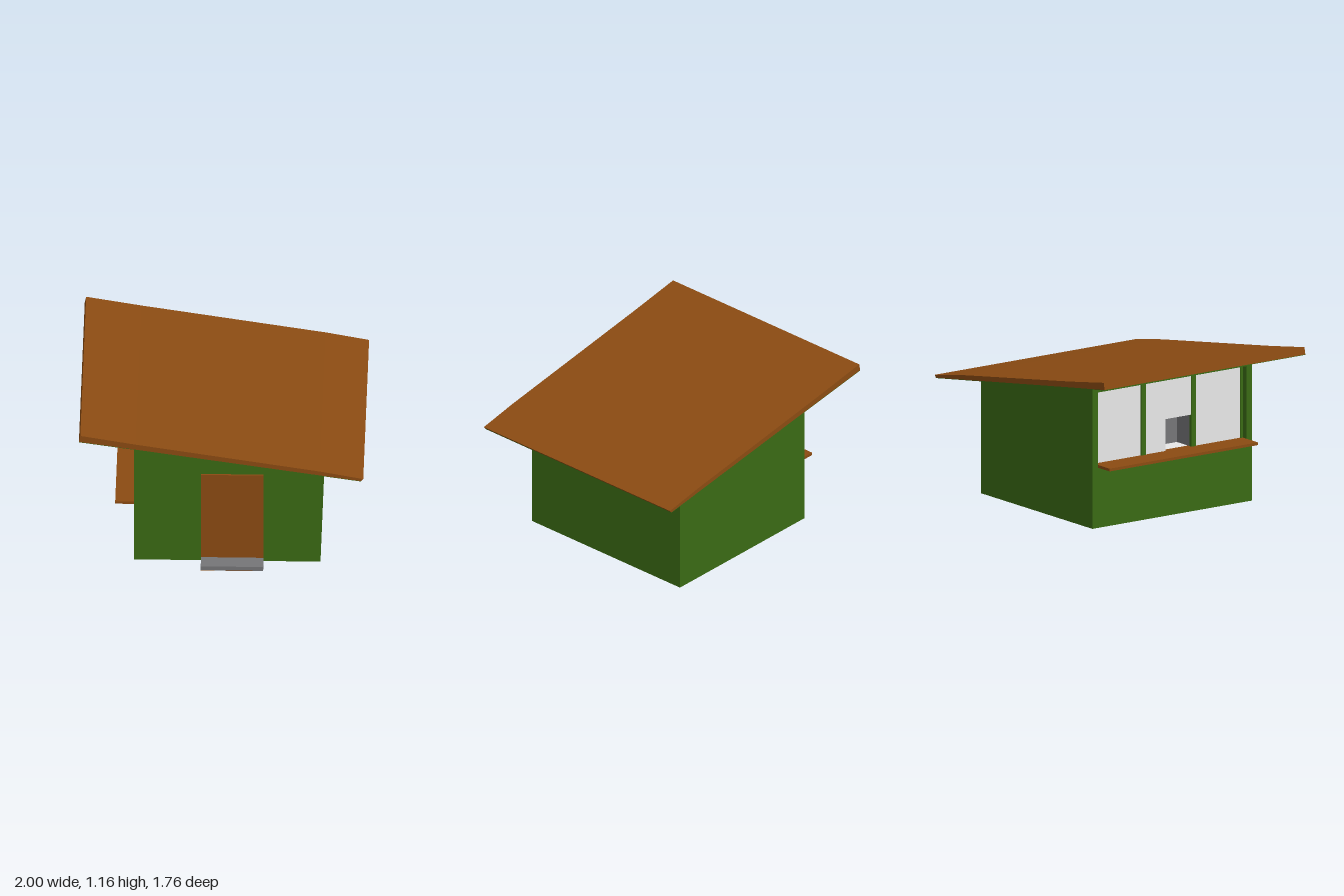
import * as THREE from 'three';

const mat = (name, color) => {
  const m = new THREE.MeshStandardMaterial({ color });
  m.name = name;
  return m;
};

export function createModel() {
  const green = mat('green paint', 0x3a6a14);
  const brown = mat('brown wood', 0x8b4b12);
  const white = mat('white panel', 0xf0f0f0);
  const grey = mat('grey stone', 0x757578);

  const model = new THREE.Group();
  model.name = 'kiosk';

  const add = (name, geometry, material) => {
    const mesh = new THREE.Mesh(geometry, material);
    mesh.name = name;
    model.add(mesh);
    return mesh;
  };
  // box given by its min and max on each axis
  const box = (name, material, [x0, x1], [y0, y1], [z0, z1]) => {
    const g = new THREE.BoxGeometry(x1 - x0, y1 - y0, z1 - z0);
    g.translate((x0 + x1) / 2, (y0 + y1) / 2, (z0 + z1) / 2);
    return add(name, g, material);
  };
  // side profile in x and y, extruded from z0 to z1
  const slab = (name, material, points, z0, z1) => {
    const shape = new THREE.Shape(points.map(([x, y]) => new THREE.Vector2(x, y)));
    const g = new THREE.ExtrudeGeometry(shape, { depth: z1 - z0, bevelEnabled: false });
    g.translate(0, 0, z0);
    return add(name, g, material);
  };

  // walls
  const gable = [[-0.615, 0], [0.695, 0], [0.695, 0.852], [-0.615, 1.052]];
  slab('frontWall', green, gable, 0.65, 0.7);
  slab('backWall', green, gable, -0.7, -0.65);
  box('leanWall', green, [0.645, 0.695], [0, 0.852], [-0.65, 0.65]);
  box('counterWall', green, [-0.615, -0.565], [0, 0.435], [-0.65, 0.65]);
  box('counterHeader', green, [-0.615, -0.565], [0.98, 1.045], [-0.65, 0.65]);
  box('floor', green, [-0.565, 0.645], [0, 0.03], [-0.65, 0.65]);

  // slightly bent lean-to roof with a green underside
  const under = [[-1, 1.107], [-0.615, 1.05], [0.695, 0.85], [0.985, 0.806]];
  const top = [[1, 0.824], [0.695, 0.883], [-0.6, 1.09], [-0.99, 1.158]];
  slab('roof', brown, [...under, ...top], -0.88, 0.88);
  const lower = under.map(([x, y]) => [x, y - 0.003]);
  slab('soffit', green, [...lower, ...[...under].reverse()], -0.88, 0.88);

  // door and step
  box('door', brown, [-0.145, 0.295], [0.002, 0.73], [0.7, 0.713]);
  box('step', grey, [-0.145, 0.295], [0.003, 0.035], [0.713, 0.83]);
  box('stepBase', brown, [-0.145, 0.295], [0, 0.003], [0.7, 0.83]);

  // serving counter
  box('counter', brown, [-0.75, -0.53], [0.435, 0.455], [-0.65, 0.65]);

  // window posts
  for (const z of [-0.22, 0.22]) {
    box('windowPost', green, [-0.575, -0.55], [0.455, 0.98], [z - 0.02, z + 0.02]);
  }
  for (const s of [-1, 1]) {
    box('windowFrame', green, [-0.575, -0.55], [0.455, 0.98], [s * 0.64 - 0.01, s * 0.64 + 0.01]);
  }

  // window panels, the middle one with a serving hatch
  const px = [-0.565, -0.556];
  box('backPanel', white, px, [0.455, 0.98], [-0.63, -0.24]);
  box('frontPanel', white, px, [0.455, 0.98], [0.24, 0.63]);
  box('middlePanel', white, px, [0.455, 0.98], [-0.2, -0.02]);
  box('hatchPanel', white, px, [0.685, 0.98], [-0.02, 0.2]);

  // recess behind the hatch
  box('hatchBack', grey, [-0.4, -0.39], [0.455, 0.685], [-0.02, 0.2]);
  box('hatchFloor', white, [-0.53, -0.4], [0.446, 0.455], [-0.02, 0.2]);
  box('hatchTop', grey, [-0.556, -0.39], [0.685, 0.694], [-0.03, 0.21]);
  for (const z of [-0.025, 0.205]) {
    box('hatchSide', grey, [-0.55, -0.39], [0.446, 0.685], [z - 0.005, z + 0.005]);
  }

  return model;
}
